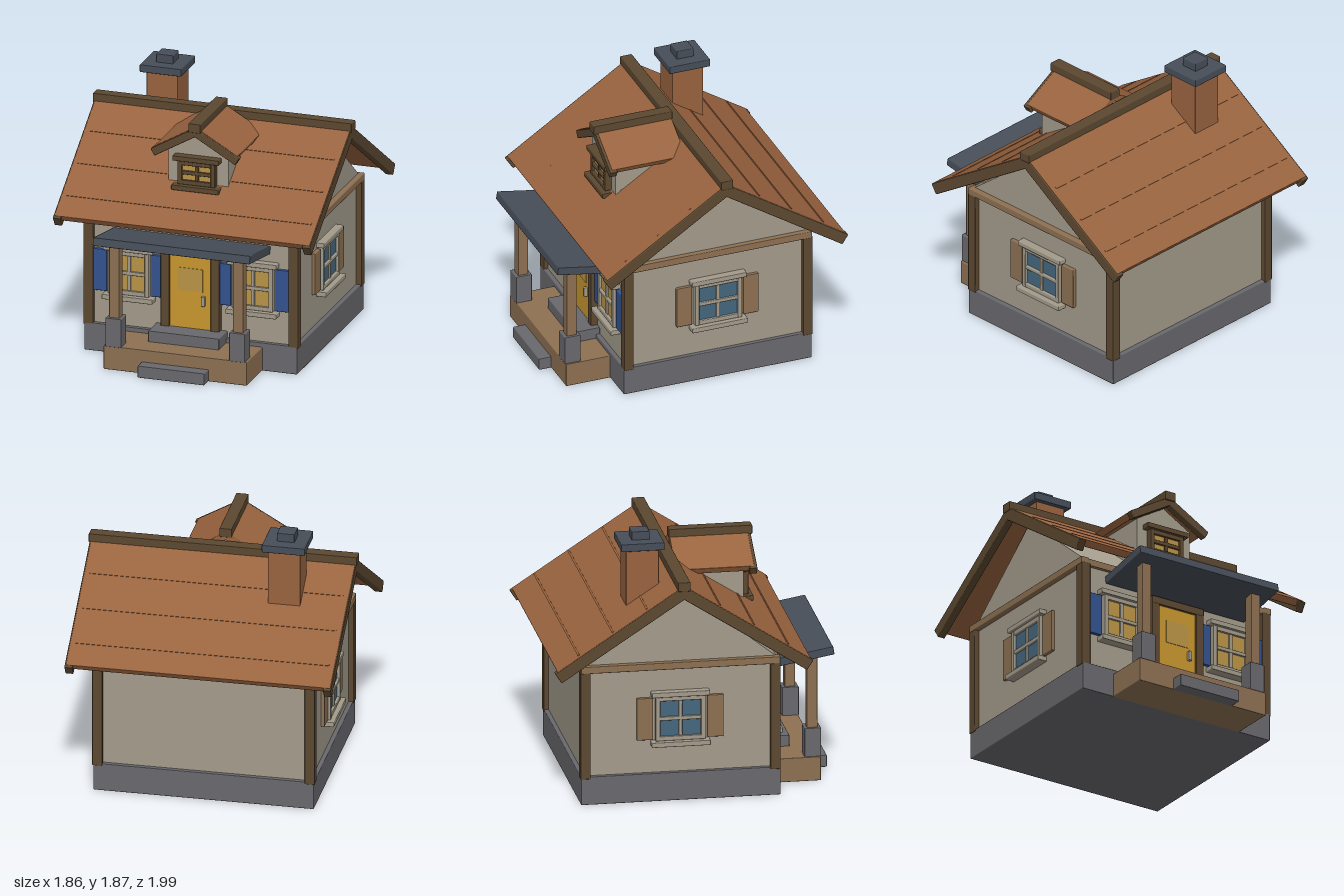
import * as THREE from 'three';
import { RoundedBoxGeometry } from 'three/addons/geometries/RoundedBoxGeometry.js';

const mat = (name, color) => {
  const m = new THREE.MeshStandardMaterial({ color });
  m.name = name;
  return m;
};
const M = {
  plaster: mat('plaster', 0xa39b8b),
  roof: mat('terracotta', 0x99633f),
  darkWood: mat('dark wood', 0x5c4830),
  wood: mat('light wood', 0x8d7052),
  stone: mat('stone', 0x69686d),
  slate: mat('slate', 0x474e59),
  blue: mat('blue paint', 0x33528f),
  gold: mat('golden paint', 0xc8962e),
  amber: mat('lit glass', 0xba9445),
  glass: mat('blue glass', 0x44677e),
};

// Box given by its extents, with softly chamfered edges where it is thick enough
function box(parent, name, material, [x0, x1], [y0, y1], [z0, z1]) {
  const w = x1 - x0, h = y1 - y0, d = z1 - z0;
  const thin = Math.min(w, h, d);
  const geo = thin > 0.02
    ? new RoundedBoxGeometry(w, h, d, 1, 0.006)
    : new THREE.BoxGeometry(w, h, d);
  const mesh = new THREE.Mesh(geo, material);
  mesh.name = name;
  mesh.position.set((x0 + x1) / 2, (y0 + y1) / 2, (z0 + z1) / 2);
  parent.add(mesh);
  return mesh;
}

function group(parent, name, x = 0, y = 0, z = 0, ry = 0) {
  const g = new THREE.Group();
  g.name = name;
  g.position.set(x, y, z);
  g.rotation.order = 'YXZ';
  g.rotation.y = ry;
  parent.add(g);
  return g;
}

// Group whose local z runs down a roof slope from the ridge
function slope(parent, name, y, z, heading, tilt) {
  const g = group(parent, name, 0, y, z, heading);
  g.rotation.x = tilt;
  return g;
}

// Solid prism with the given outline, extruded along local z
function prism(parent, name, material, points, z0, z1) {
  const shape = new THREE.Shape(points.map(([x, y]) => new THREE.Vector2(x, y)));
  const geo = new THREE.ExtrudeGeometry(shape, { depth: z1 - z0, bevelEnabled: false });
  geo.translate(0, 0, z0);
  const mesh = new THREE.Mesh(geo, material);
  mesh.name = name;
  parent.add(mesh);
}

// Window facing local +z, centred on its opening
function addWindow(parent, name, o) {
  const g = group(parent, name, o.x, o.y, o.z, o.ry || 0);
  const { w, h, bar, frame, glass, over } = o;
  const a = w / 2, b = h / 2;
  for (const s of [-1, 1]) {
    const c = s * (a - bar / 2), e = s * (b - bar / 2);
    box(g, 'windowJamb', frame, [c - bar / 2, c + bar / 2], [-b, b], [-0.02, 0.04]);
    box(g, 'windowRail', frame, [-a, a], [e - bar / 2, e + bar / 2], [-0.02, 0.038]);
  }
  box(g, 'windowGlass', glass, [-a + bar, a - bar], [-b + bar, b - bar], [0.012, 0.02]);
  const m = bar * 0.42;
  box(g, 'windowMullion', frame, [-m, m], [-b + bar, b - bar], [0, 0.033]);
  box(g, 'windowCrossbar', frame, [-a + bar * 0.8, a - bar * 0.8], [-m, m], [0, 0.036]);
  box(g, 'windowHead', frame, [-a - over, a + over], [b, b + 0.036], [-0.02, 0.055]);
  box(g, 'windowSill', frame, [-a - over - 0.003, a + over + 0.003], [-b - 0.036, -b], [-0.02, 0.07]);
  if (o.shutter) {
    for (const s of [-1, 1]) {
      const c = s * o.shutterX;
      box(g, 'shutter', o.shutter, [c - o.shutterW / 2, c + o.shutterW / 2], [-0.15, 0.15], [-0.01, 0.025]);
    }
  }
}

export function createModel() {
  const house = new THREE.Group();
  house.name = 'cottage';

  // Base, walls and timber frame
  box(house, 'foundation', M.stone, [-0.765, 0.765], [0, 0.2], [-0.785, 0.59]);
  box(house, 'walls', M.plaster, [-0.735, 0.735], [0.19, 0.99], [-0.755, 0.56]);
  const gable = group(house, 'gableWalls', 0, 0, -0.1, Math.PI / 2);
  prism(gable, 'gableWall', M.plaster, [[-0.67, 0.98], [0.67, 0.98], [0, 1.51]], -0.735, 0.735);
  for (const s of [-1, 1]) {
    for (const z of [-0.755, 0.555]) {
      box(house, 'cornerPost', M.darkWood, [s * 0.737 - 0.035, s * 0.737 + 0.035], [0.185, 0.95], [z - 0.035, z + 0.035]);
    }
    box(house, 'sideBeam', M.wood, [s * 0.745 - 0.03, s * 0.745 + 0.03], [0.94, 0.99], [-0.785, 0.588]);
  }
  box(house, 'frontBeam', M.wood, [-0.76, 0.76], [0.935, 0.985], [0.53, 0.585]);
  box(house, 'backBeam', M.wood, [-0.76, 0.76], [0.935, 0.985], [-0.782, -0.73]);

  // Main roof
  for (const heading of [0, Math.PI]) {
    const g = slope(house, 'roofSlope', 1.583, -0.1, heading, 0.577);
    box(g, 'roofSlab', M.roof, [-0.917, 0.917], [-0.05, 0], [0, 1.043]);
    for (const d of [0.3, 0.58, 0.86]) {
      box(g, 'roofCourse', M.roof, [-0.88, 0.88], [-0.004, 0.004], [d - 0.007, d + 0.007]);
    }
    for (const s of [-1, 1]) {
      box(g, 'bargeBoard', M.darkWood, [s * 0.896 - 0.028, s * 0.896 + 0.028], [-0.083, -0.003], [0, 1.063]);
    }
  }
  box(house, 'roofRidge', M.darkWood, [-0.93, 0.93], [1.545, 1.61], [-0.145, -0.058]);

  // Chimney
  box(house, 'chimneyStack', M.roof, [-0.6, -0.375], [1.2, 1.755], [-0.447, -0.22]);
  box(house, 'chimneyCap', M.slate, [-0.638, -0.34], [1.752, 1.806], [-0.485, -0.187]);
  box(house, 'chimneyPot', M.slate, [-0.55, -0.428], [1.8, 1.865], [-0.398, -0.275]);

  // Dormer
  const dormer = group(house, 'dormer');
  prism(dormer, 'dormerWall', M.plaster,
    [[-0.215, 1.2], [0.215, 1.2], [0.215, 1.475], [0, 1.6], [-0.215, 1.475]], 0, 0.43);
  for (const s of [-1, 1]) {
    const slab = slope(dormer, 'dormerSlope', 1.665, 0.22, s * Math.PI / 2, 0.524);
    box(slab, 'dormerRoof', M.roof, [-0.27, 0.27], [-0.05, 0], [0, 0.35]);
    const rake = slope(dormer, 'dormerRake', 1.665, 0.482, s * Math.PI / 2, 0.524);
    box(rake, 'dormerBargeBoard', M.darkWood, [-0.027, 0.027], [-0.06, -0.003], [0, 0.37]);
  }
  box(dormer, 'dormerRidge', M.darkWood, [-0.043, 0.043], [1.63, 1.695], [-0.055, 0.52]);
  addWindow(dormer, 'dormerWindow', {
    x: 0, y: 1.318, z: 0.438, w: 0.27, h: 0.17, bar: 0.032,
    frame: M.darkWood, glass: M.amber, over: 0.032,
  });

  // House windows with shutters
  for (const s of [-1, 1]) {
    addWindow(house, 'frontWindow', {
      x: s * 0.445, y: 0.588, z: 0.56, w: 0.295, h: 0.315, bar: 0.032,
      frame: M.plaster, glass: M.amber, over: 0.032,
      shutter: M.blue, shutterX: 0.21, shutterW: 0.1,
    });
    addWindow(house, 'sideWindow', {
      x: s * 0.735, y: 0.588, z: -0.1, ry: s * Math.PI / 2, w: 0.345, h: 0.315, bar: 0.032,
      frame: M.plaster, glass: M.glass, over: 0.028,
      shutter: M.wood, shutterX: 0.243, shutterW: 0.113,
    });
  }

  // Door
  for (const s of [-1, 1]) {
    box(house, 'doorJamb', M.darkWood, [s * 0.18 - 0.031, s * 0.18 + 0.031], [0.19, 0.83], [0.54, 0.61]);
  }
  box(house, 'doorLintel', M.darkWood, [-0.211, 0.211], [0.778, 0.832], [0.54, 0.612]);
  box(house, 'door', M.gold, [-0.15, 0.15], [0.22, 0.78], [0.55, 0.595]);
  box(house, 'doorPane', M.amber, [-0.09, 0.09], [0.515, 0.68], [0.592, 0.599]);
  box(house, 'doorHandle', M.plaster, [0.083, 0.11], [0.42, 0.49], [0.59, 0.62]);
  box(house, 'doorStep', M.stone, [-0.255, 0.255], [0.165, 0.248], [0.56, 0.74]);

  // Porch
  box(house, 'porchDeck', M.wood, [-0.515, 0.515], [0, 0.17], [0.58, 0.912]);
  box(house, 'porchStep', M.stone, [-0.24, 0.24], [0, 0.085], [0.88, 1.0]);
  for (const x of [-0.445, 0.445]) {
    box(house, 'postPlinth', M.stone, [x - 0.057, x + 0.057], [0.165, 0.372], [0.8, 0.915]);
    box(house, 'porchPost', M.wood, [x - 0.037, x + 0.037], [0.365, 0.9], [0.82, 0.893]);
  }
  const canopy = box(house, 'porchCanopy', M.slate, [-0.565, 0.565], [0.876, 0.934], [0.56, 0.995]);
  canopy.rotation.x = -0.168;

  return house;
}
